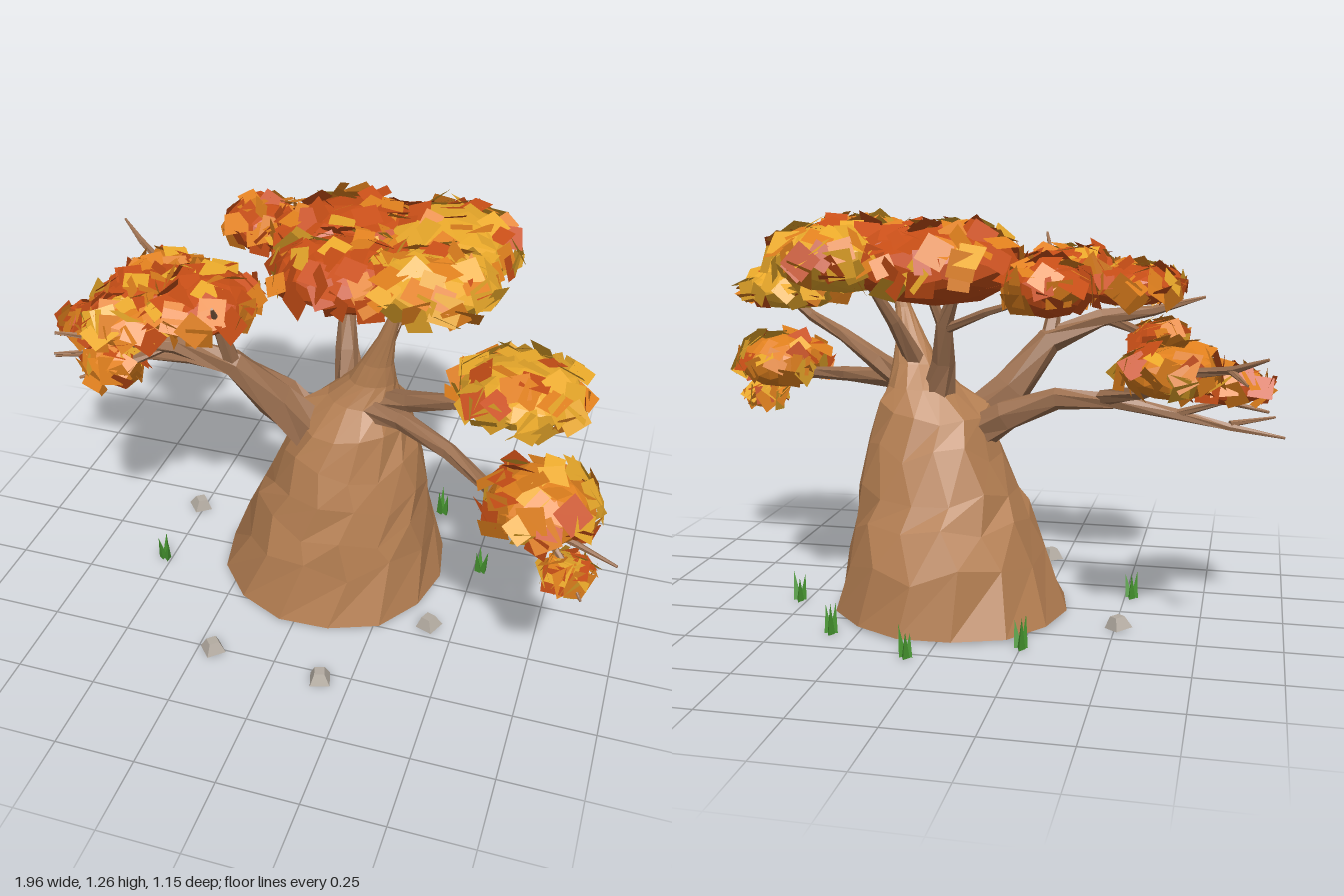
import * as THREE from 'three';
import { mergeGeometries } from 'three/addons/utils/BufferGeometryUtils.js';

// Seeded random numbers
let seed = 7;
const rnd = () => {
  seed = (seed * 1664525 + 1013904223) % 4294967296;
  return seed / 4294967296;
};
const spread = (a) => (rnd() * 2 - 1) * a;

const flat = (color, side = THREE.FrontSide) =>
  new THREE.MeshStandardMaterial({ color, flatShading: true, side });

function addMesh(parent, name, geometry, material) {
  const mesh = new THREE.Mesh(geometry, material);
  mesh.name = name;
  parent.add(mesh);
  return mesh;
}

// Lofts rings along sections [x, y, z, radius, depthRadius]; level keeps rings horizontal
function loft(sections, sides, wobble = 0, level = false) {
  const centres = sections.map((s) => new THREE.Vector3(s[0], s[1], s[2]));
  const pos = [], index = [];
  sections.forEach((s, j) => {
    const next = centres[Math.min(j + 1, centres.length - 1)];
    const prev = centres[Math.max(j - 1, 0)];
    const t = level ? new THREE.Vector3(0, 1, 0) : next.clone().sub(prev).normalize();
    const u = new THREE.Vector3().crossVectors(t, new THREE.Vector3(0, 0, 1)).normalize();
    const v = new THREE.Vector3().crossVectors(t, u);
    const lift = level && j > 0 && j < 6 ? 0.03 : 0;
    for (let i = 0; i < sides; i++) {
      const a = ((i + (j % 2) * 0.3) / sides) * Math.PI * 2;
      const k = 1 + spread(wobble);
      const p = centres[j].clone()
        .addScaledVector(u, Math.cos(a) * s[3] * k)
        .addScaledVector(v, Math.sin(a) * (s[4] ?? s[3]) * k)
        .addScaledVector(t, spread(lift));
      pos.push(p.x, p.y, p.z);
    }
  });
  const last = (sections.length - 1) * sides;
  for (let j = 0; j < sections.length - 1; j++) {
    for (let i = 0; i < sides; i++) {
      const a = j * sides + i, b = j * sides + ((i + 1) % sides);
      index.push(a, b, b + sides, a, b + sides, a + sides);
    }
  }
  for (let i = 1; i < sides - 1; i++) {
    index.push(0, i + 1, i, last, last + i, last + i + 1);
  }
  const g = new THREE.BufferGeometry();
  g.setAttribute('position', new THREE.Float32BufferAttribute(pos, 3));
  g.setIndex(index);
  g.computeVertexNormals();
  return g;
}

// Swollen trunk narrowing into the leader
const TRUNK = [
  [0.035, 0.01, -0.045, 0.37, 0.378], [0.053, 0.19, -0.05, 0.315, 0.335],
  [0.068, 0.3, -0.035, 0.282, 0.295], [0.08, 0.4, -0.03, 0.253, 0.26],
  [0.095, 0.52, -0.02, 0.213, 0.22], [0.1, 0.64, -0.02, 0.175, 0.178],
  [0.13, 0.71, -0.02, 0.115, 0.115], [0.16, 0.78, -0.005, 0.075, 0.07],
  [0.18, 0.85, 0.015, 0.05, 0.042], [0.21, 0.95, 0.035, 0.027, 0.025], [0.25, 1.08, 0.05, 0.012, 0.012],
];

// Limbs as [x, y, z, radius]
const LIMBS = {
  rearUprightBranch: [[0.08, 0.64, -0.06, 0.06], [0.045, 0.8, -0.11, 0.038], [0.03, 0.92, -0.16, 0.026], [-0.03, 1.06, -0.22, 0.012]],
  rearUprightFork: [[0.03, 0.9, -0.15, 0.02], [0.09, 1.07, -0.2, 0.009]],
  rearRightFork: [[0.035, 0.9, -0.15, 0.016], [-0.12, 0.97, -0.26, 0.012], [-0.3, 1.03, -0.36, 0.007]],
  leaderFork: [[0.15, 0.78, -0.03, 0.036], [0.2, 0.92, -0.12, 0.022], [0.27, 1.07, -0.2, 0.012]],
  upperRightBranch: [[0, 0.55, 0.03, 0.08], [-0.13, 0.69, 0.08, 0.06], [-0.24, 0.84, 0.14, 0.042], [-0.4, 0.91, 0.2, 0.03], [-0.56, 0.93, 0.26, 0.018], [-0.72, 0.97, 0.34, 0.005]],
  upperRightFork: [[-0.24, 0.83, 0.14, 0.03], [-0.26, 1.0, 0.2, 0.018], [-0.19, 1.17, 0.4, 0.004]],
  upperRightTwig: [[-0.42, 0.91, 0.2, 0.02], [-0.52, 0.86, 0.26, 0.014], [-0.66, 0.82, 0.33, 0.005]],
  lowerRightBranch: [[0, 0.53, -0.03, 0.065], [-0.14, 0.63, -0.06, 0.052], [-0.3, 0.69, -0.07, 0.036], [-0.48, 0.69, -0.08, 0.026], [-0.66, 0.66, -0.09, 0.018], [-0.82, 0.63, -0.1, 0.012], [-0.98, 0.6, -0.08, 0.004]],
  lowerRightFork: [[-0.44, 0.7, -0.08, 0.024], [-0.58, 0.75, -0.24, 0.022], [-0.7, 0.83, -0.4, 0.016], [-0.83, 0.86, -0.5, 0.012], [-0.92, 0.9, -0.57, 0.004]],
  endTwig: [[-0.82, 0.86, -0.49, 0.011], [-0.87, 0.83, -0.57, 0.004]],
  outerTwig: [[-0.66, 0.66, -0.09, 0.014], [-0.8, 0.71, -0.12, 0.01], [-0.93, 0.69, -0.16, 0.004]],
  lowTwig: [[-0.82, 0.64, -0.1, 0.01], [-0.95, 0.65, -0.02, 0.004]],
  upperLeftBranch: [[0.15, 0.69, 0.0, 0.05], [0.3, 0.76, 0.07, 0.033], [0.45, 0.84, 0.15, 0.024], [0.58, 0.89, 0.22, 0.018], [0.74, 1.0, 0.27, 0.008]],
  lowerLeftBranch: [[0.13, 0.69, 0.04, 0.045], [0.28, 0.71, 0.1, 0.032], [0.45, 0.7, 0.2, 0.026], [0.6, 0.68, 0.32, 0.02], [0.78, 0.66, 0.42, 0.014], [0.98, 0.64, 0.5, 0.004]],
  lowerLeftTwig: [[0.74, 0.67, 0.4, 0.014], [0.84, 0.6, 0.48, 0.009], [0.9, 0.53, 0.54, 0.004]],
};

// Leaf clusters: centre, radii, colour weights [rust, orange, gold]
const CLUSTERS = [
  [0.03, 1.1, -0.27, 0.27, 0.12, 0.23, 5, 3, 1],
  [0.31, 1.12, -0.25, 0.22, 0.11, 0.26, 2, 3, 4],
  [0.08, 1.12, 0.0, 0.24, 0.1, 0.19, 5, 3, 2],
  [0.33, 1.14, 0.03, 0.19, 0.09, 0.17, 1, 3, 4],
  [-0.32, 1.05, -0.38, 0.12, 0.085, 0.13, 4, 4, 0],
  [-0.3, 1.06, 0.18, 0.15, 0.08, 0.18, 4, 4, 1],
  [-0.49, 1.02, 0.14, 0.16, 0.07, 0.15, 4, 4, 1],
  [-0.52, 1.01, 0.29, 0.12, 0.06, 0.1, 3, 4, 1],
  [-0.58, 0.84, 0.26, 0.08, 0.055, 0.09, 2, 4, 1],
  [-0.66, 0.82, -0.33, 0.14, 0.08, 0.13, 2, 5, 2],
  [-0.8, 0.75, -0.09, 0.13, 0.06, 0.09, 5, 3, 0],
  [0.65, 0.98, 0.25, 0.18, 0.075, 0.18, 1, 3, 5],
  [0.75, 0.71, 0.38, 0.16, 0.1, 0.16, 2, 4, 3],
  [0.85, 0.57, 0.48, 0.06, 0.045, 0.06, 1, 3, 4],
];

function makeFoliage(group) {
  const buckets = [[], [], []];
  const names = ['rustLeaves', 'orangeLeaves', 'goldLeaves'];
  const colors = [0xc84e16, 0xe0801d, 0xeaa92a];
  const facing = new THREE.Vector3(0, 0, 1);
  for (const [x, y, z, rx, ry, rz, ...w] of CLUSTERS) {
    const pick = () => {
      const r = rnd() * (w[0] + w[1] + w[2]);
      return r < w[0] ? 0 : r < w[0] + w[1] ? 1 : 2;
    };
    // Solid faceted core
    const core = new THREE.IcosahedronGeometry(1, 1).scale(rx * 0.95, ry * 0.95, rz * 0.95).translate(x, y, z);
    buckets[w.indexOf(Math.max(...w))].push(core);
    // Square leaf cards over the surface, sparser underneath
    const count = Math.round(22 + 1150 * rx * rz);
    for (let i = 0; i < count; i++) {
      const h = 1 - 1.45 * ((i + 0.5) / count), a = i * 2.39996 + spread(0.3);
      const s = Math.sqrt(1 - h * h);
      const d = new THREE.Vector3(Math.cos(a) * s, h, Math.sin(a) * s);
      const n = new THREE.Vector3(d.x / rx, d.y / ry, d.z / rz).normalize();
      n.add(new THREE.Vector3(spread(0.55), spread(0.5), spread(0.55))).normalize();
      const size = 0.058 + rnd() * 0.027, k = 0.95 + rnd() * 0.1;
      const leaf = new THREE.PlaneGeometry(size, size).toNonIndexed()
        .rotateZ(rnd() * Math.PI)
        .applyQuaternion(new THREE.Quaternion().setFromUnitVectors(facing, n))
        .translate(x + d.x * rx * k, y + d.y * ry * k, z + d.z * rz * k);
      buckets[pick()].push(leaf);
    }
  }
  buckets.forEach((b, i) => addMesh(group, names[i], mergeGeometries(b), flat(colors[i], THREE.DoubleSide)));
}

export function createModel() {
  seed = 7;
  const tree = new THREE.Group();
  tree.name = 'autumnTree';
  const bark = flat(0xb57f52), limbBark = flat(0x9c7050);
  addMesh(tree, 'trunk', loft(TRUNK, 14, 0.025, true), bark);

  const branches = new THREE.Group();
  branches.name = 'branches';
  for (const [name, path] of Object.entries(LIMBS)) addMesh(branches, name, loft(path, 6, 0.08), limbBark);
  tree.add(branches);

  const foliage = new THREE.Group();
  foliage.name = 'foliage';
  makeFoliage(foliage);
  tree.add(foliage);

  // Small stones around the foot
  const stone = flat(0xb4aca2);
  for (const [x, z] of [[-0.2, 0.51], [0.16, 0.535], [0.42, 0.2], [-0.51, -0.16]]) {
    const rock = new THREE.CylinderGeometry(0.022, 0.043, 0.036, 4).rotateY(rnd() * 6).rotateZ(spread(0.12));
    addMesh(tree, 'rock', rock, stone).position.set(x, 0.025, z);
  }

  // Grass tufts of leaning blades
  const green = flat(0x46952f);
  for (const [x, z] of [[-0.52, 0.14], [0.525, -0.12], [0.33, -0.39], [0.06, -0.53], [-0.25, -0.39]]) {
    const blades = [];
    for (let i = 0; i < 3; i++) {
      const h = 0.07 + rnd() * 0.035;
      blades.push(new THREE.ConeGeometry(0.014, h, 3).translate(0, h / 2, 0)
        .rotateZ(0.08 + rnd() * 0.15).translate(-0.01, 0, 0).rotateY(i * 2.1 + rnd()));
    }
    addMesh(tree, 'grassTuft', mergeGeometries(blades), green).position.set(x, 0.005, z);
  }
  return tree;
}
